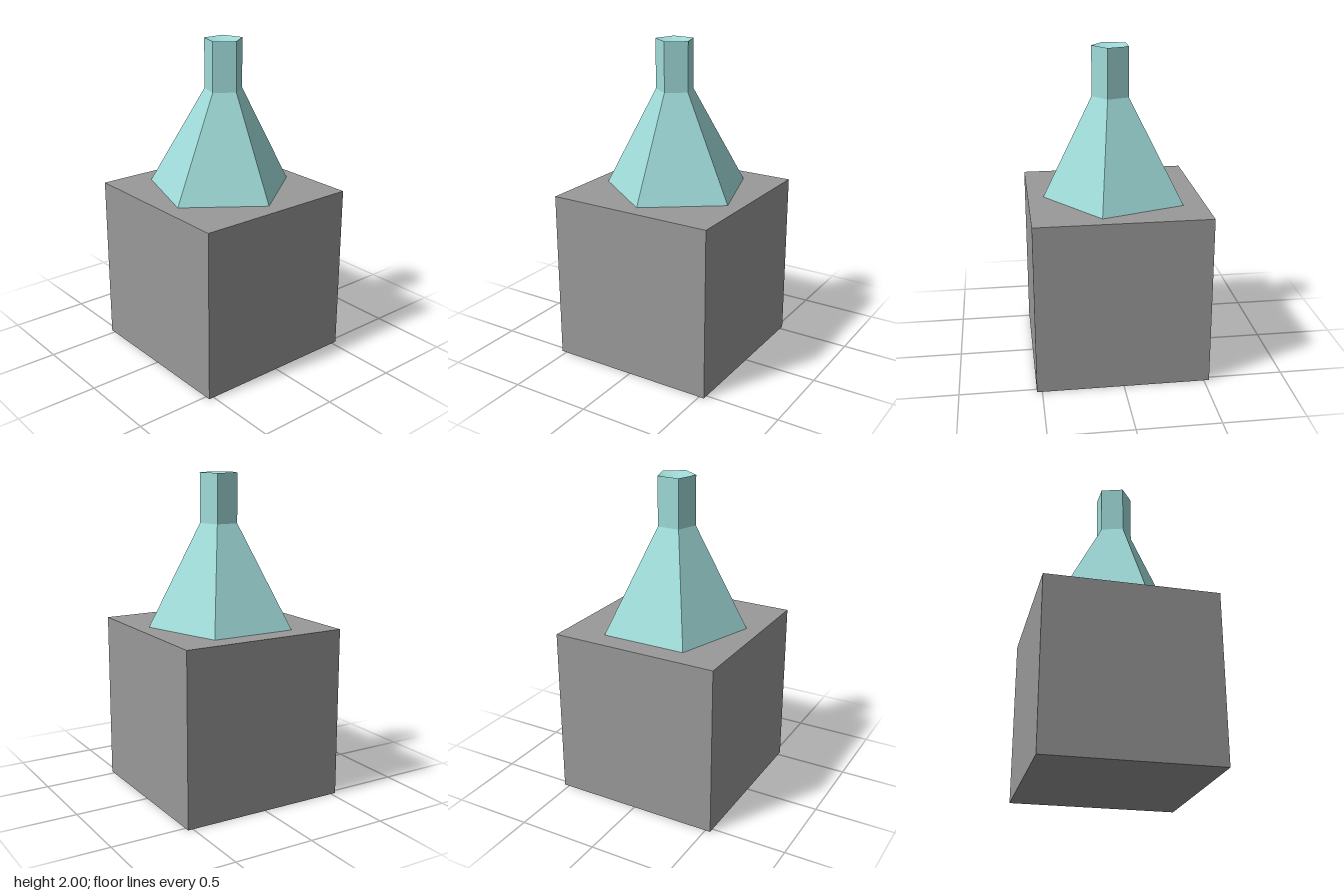
import * as THREE from 'three';

const SIDES = 5;
const CUBE = 1.065;
const CENTRE_Z = -0.003;

// Joins pentagons, each { x: centre, y: height, r: radius }, into a skin
function loft(rings) {
  const positions = [];
  const index = [];
  rings.forEach(({ x, y, r }, k) => {
    for (let i = 0; i < SIDES; i++) {
      const a = (i / SIDES) * Math.PI * 2;
      positions.push(x + r * Math.cos(a), y, CENTRE_Z - r * Math.sin(a));
      if (k === rings.length - 1) continue;
      const j = (i + 1) % SIDES;
      const low = k * SIDES;
      const high = low + SIDES;
      index.push(low + i, low + j, high + j, low + i, high + j, high + i);
    }
  });
  const geometry = new THREE.BufferGeometry();
  geometry.setAttribute('position', new THREE.Float32BufferAttribute(positions, 3));
  geometry.setIndex(index);
  geometry.computeVertexNormals();
  return geometry;
}

export function createModel() {
  const group = new THREE.Group();
  const grey = new THREE.MeshStandardMaterial({ color: 0x999999 });
  const teal = new THREE.MeshStandardMaterial({ color: 0xa0dcda, flatShading: true });
  const tealSmooth = new THREE.MeshStandardMaterial({ color: 0xa0dcda });

  const add = (name, geometry, material) => {
    const mesh = new THREE.Mesh(geometry, material);
    mesh.name = name;
    group.add(mesh);
    return mesh;
  };

  // Cube pedestal
  add('base', new THREE.BoxGeometry(CUBE, CUBE, CUBE), grey).position.y = CUBE / 2;

  // Slightly skewed five-sided taper and the straight neck above it
  const foot = { x: -0.025, y: CUBE, r: 0.46 };
  const shoulder = { x: 0.008, y: 1.695, r: 0.12 };
  const rim = { ...shoulder, y: 2 };
  add('taper', loft([foot, shoulder]), teal);
  add('neck', loft([shoulder, rim]), teal);

  // Shallow smooth dish closing the neck
  const dish = [];
  for (let k = 0; k <= 8; k++) {
    const t = Math.max(1 - k / 8, 0.001);
    dish.push({ x: rim.x, y: rim.y - 0.02 * (1 - t * t), r: rim.r * t });
  }
  add('topDish', loft(dish), tealSmooth);

  return group;
}
